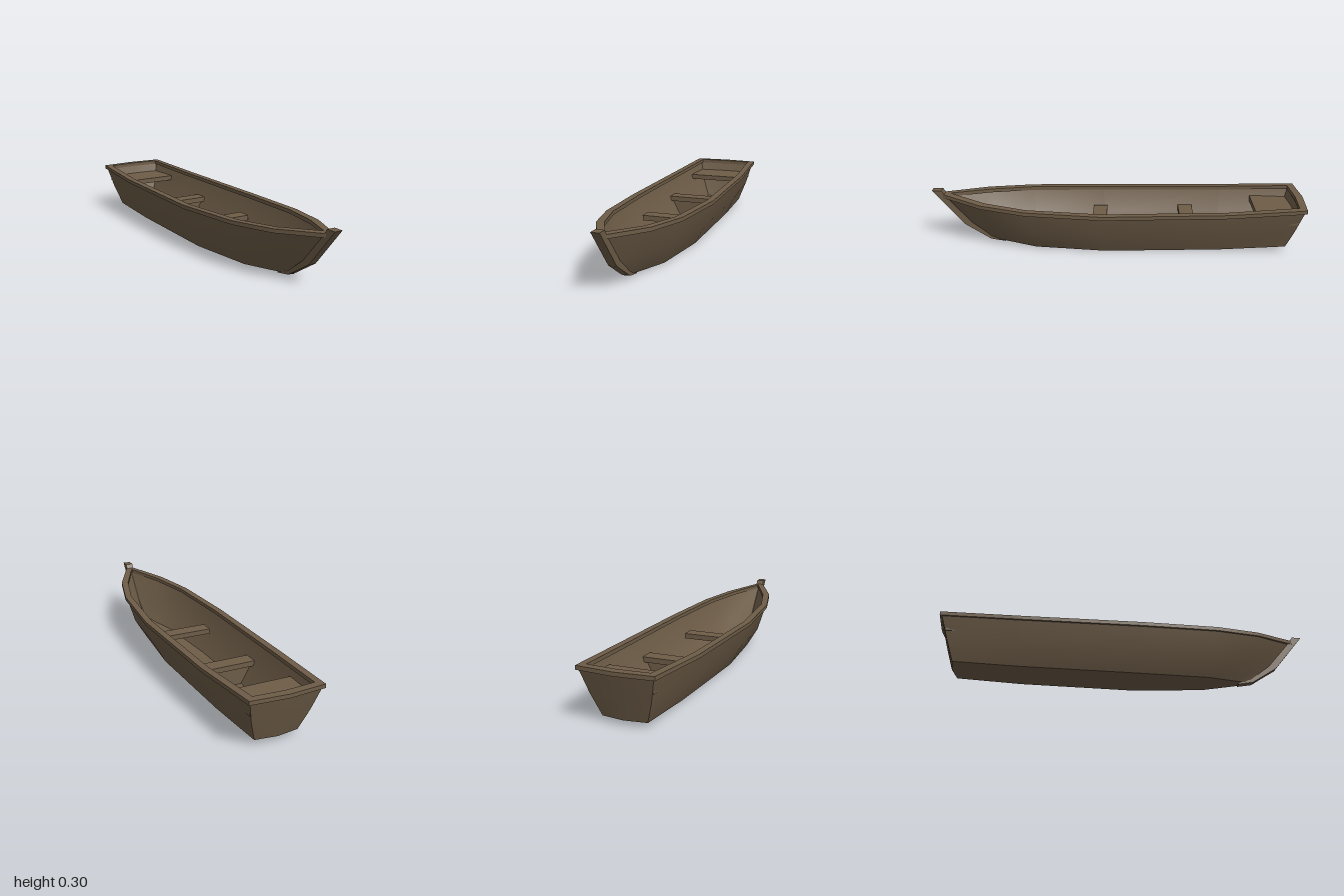
import * as THREE from 'three';
import { toCreasedNormals } from 'three/addons/utils/BufferGeometryUtils.js';

const wood = new THREE.MeshStandardMaterial({ color: 0x6d5c47, side: THREE.DoubleSide });
wood.name = 'brown wood';

// Hull lines from stern to bow; each point is [half width, y, z]
const TOP = [[0.18, 0.257, -0.975], [0.205, 0.241, -0.58], [0.216, 0.232, 0.08], [0.186, 0.24, 0.48], [0.126, 0.25, 0.72], [0.008, 0.265, 0.94]];
const MID = [[0.15, 0.14, -0.942], [0.17, 0.118, -0.57], [0.179, 0.105, 0.07], [0.148, 0.108, 0.46], [0.09, 0.112, 0.66], [0.006, 0.12, 0.82]];
const LOW = [[0.112, 0.03, -0.908], [0.12, 0.014, -0.56], [0.123, 0.002, 0.06], [0.09, 0.008, 0.44], [0.045, 0.014, 0.58], [0.004, 0.022, 0.71]];
// Outer edge of the rail
const RAIL = [[0.19, 0.276, -0.985], [0.216, 0.259, -0.58], [0.228, 0.25, 0.08], [0.197, 0.258, 0.48], [0.135, 0.268, 0.72], [0.02, 0.284, 0.945]];

const mirror = ([x, y, z]) => [-x, y, z];

// Skin a row of closed cross-sections
function loft(rows, closed = false) {
  const n = rows[0].length, index = [];
  const count = closed ? rows.length : rows.length - 1;
  for (let i = 0; i < count; i++) {
    const r = i * n, s = ((i + 1) % rows.length) * n;
    for (let j = 0; j < n; j++) {
      const k = (j + 1) % n;
      index.push(r + j, s + j, s + k, r + j, s + k, r + k);
    }
  }
  const geo = new THREE.BufferGeometry();
  geo.setAttribute('position', new THREE.Float32BufferAttribute(rows.flat(2), 3));
  geo.setIndex(index);
  return toCreasedNormals(geo, 0.6);
}

export function createModel() {
  const boat = new THREE.Group();
  boat.name = 'rowing boat';
  const add = (name, geo, x = 0, y = 0, z = 0) => {
    const mesh = new THREE.Mesh(geo, wood);
    mesh.name = name;
    mesh.position.set(x, y, z);
    boat.add(mesh);
  };

  // Hull shell: outer skin, then the inner skin set inwards
  const inset = ([x, y, z], lift, back) => [Math.max(x - 0.016, 0.001), y + lift, z - back];
  add('hull', loft(TOP.map((top, i) => {
    const back = i === 5 ? 0.025 : 0;
    const outer = [top, MID[i], LOW[i]];
    const inner = [inset(LOW[i], 0.014, back * 0.4), inset(MID[i], 0, back), inset(top, 0, back)];
    return [...outer, ...outer.map(mirror).reverse(), ...inner.map(mirror).reverse(), ...inner];
  })));

  // Transom, slightly bowed out along the middle
  const transomLine = [TOP[0], MID[0], LOW[0]];
  add('transom', loft([-1, 0, 1].map((s) => {
    const bulge = 0.015 * (1 - Math.abs(s));
    const outer = transomLine.map(([x, y, z]) => [x * s, y, z - bulge]);
    const inner = outer.map(([x, y, z]) => [x, y, z + 0.022]).reverse();
    return [...outer, ...inner];
  })));

  // Rail running all the way round the top edge
  const section = ([x, y, z], [ix, iz]) => [[x, y, z], [x, y - 0.02, z], [ix, y - 0.02, iz], [ix, y, iz]];
  const side = RAIL.map((p, i) => section(p,
    i === 0 ? [0.155, -0.95] : i === 5 ? [0.003, 0.9] : [p[0] - 0.036, p[2] - (i === 4 ? 0.015 : 0)]));
  add('rail', loft([
    ...side,
    ...side.map((ring) => ring.map(mirror)).reverse(),
    section([0, 0.276, -1], [0, -0.96]),
  ], true));

  // Stem post, drawn from the side and extruded across the bow
  const stem = new THREE.Shape([
    [1, 0.306], [0.95, 0.306], [0.925, 0.268], [0.80, 0.12], [0.69, 0.035], [0.62, 0.018],
    [0.62, 0.006], [0.70, 0.02], [0.84, 0.11],
  ].map(([z, y]) => new THREE.Vector2(z, y)));
  const stemGeo = new THREE.ExtrudeGeometry(stem, { depth: 0.042, bevelEnabled: false });
  stemGeo.rotateY(-Math.PI / 2).translate(0.021, 0, 0);
  add('stem post', stemGeo);

  // Seats: [name, half width, top, back z, front z]
  [
    ['stern seat', 0.165, 0.21, -0.95, -0.745],
    ['middle seat', 0.166, 0.152, -0.42, -0.342],
    ['front seat', 0.15, 0.152, 0.058, 0.135],
  ].forEach(([name, w, top, z0, z1]) =>
    add(name, new THREE.BoxGeometry(w * 2, 0.028, z1 - z0), 0, top - 0.014, (z0 + z1) / 2));

  // Upright panel under the middle seat
  const panel = new THREE.Shape([
    [-0.106, 0.02], [0.106, 0.02], [0.16, 0.13], [-0.16, 0.13],
  ].map(([x, y]) => new THREE.Vector2(x, y)));
  add('seat support', new THREE.ExtrudeGeometry(panel, { depth: 0.03, bevelEnabled: false }), 0, 0, -0.395);

  return boat;
}
